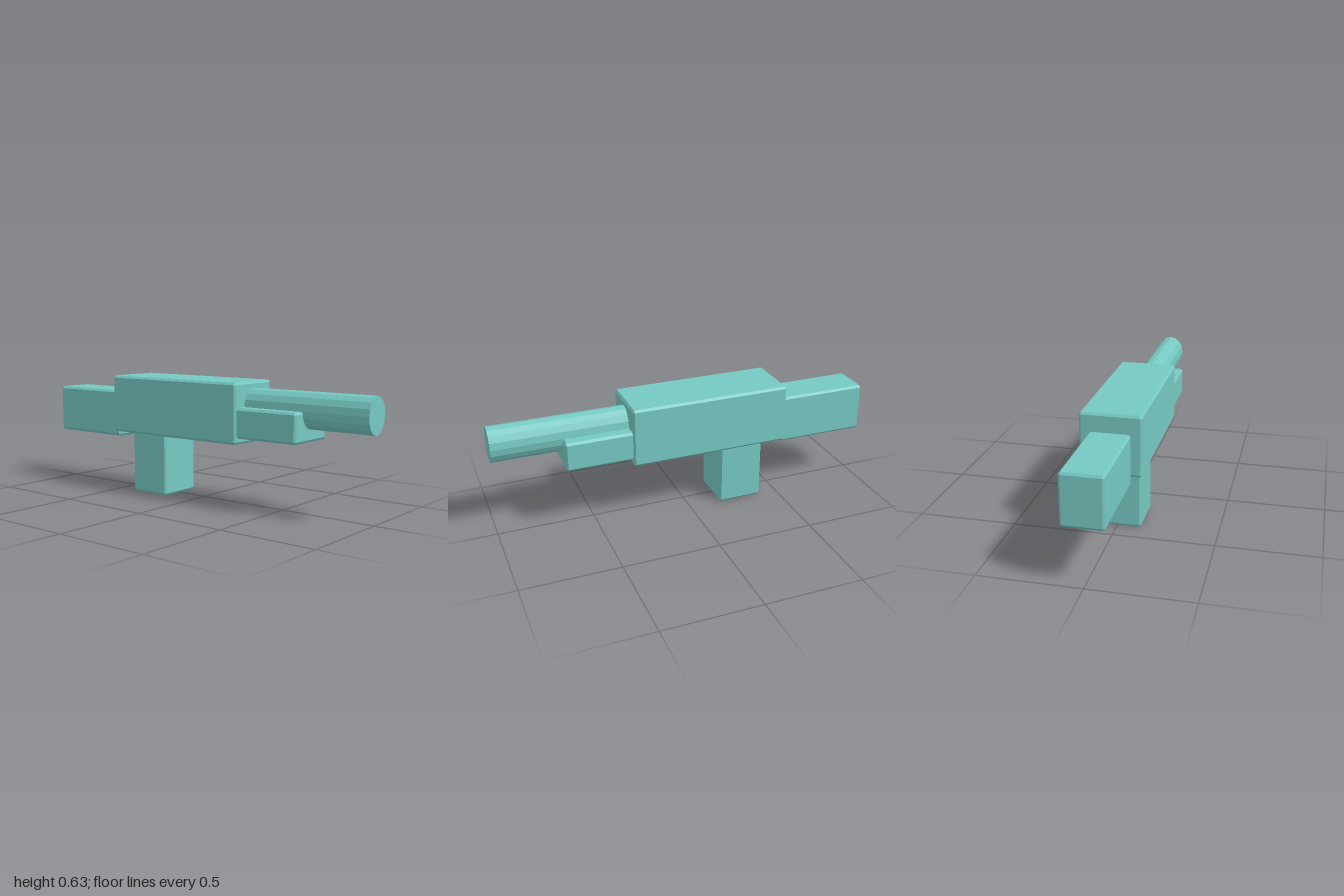
import * as THREE from 'three';
import { ConvexGeometry } from 'three/addons/geometries/ConvexGeometry.js';

const teal = new THREE.MeshStandardMaterial({ color: 0x76c8c2, flatShading: true });
teal.name = 'teal';

// Box with chamfered edges: each corner becomes three points, one per face
function chamferBox(name, [x0, x1], [y0, y1], halfZ, cut = [0.008, 0.0115, 0.01]) {
  const half = [(x1 - x0) / 2, (y1 - y0) / 2, halfZ];
  const points = [];
  for (const sx of [-1, 1]) for (const sy of [-1, 1]) for (const sz of [-1, 1]) {
    const sign = [sx, sy, sz];
    for (let face = 0; face < 3; face++) {
      points.push(new THREE.Vector3(
        ...half.map((h, axis) => sign[axis] * (axis === face ? h : h - cut[axis]))));
    }
  }
  const mesh = new THREE.Mesh(new ConvexGeometry(points), teal);
  mesh.name = name;
  mesh.position.set((x0 + x1) / 2, (y0 + y1) / 2, 0);
  return mesh;
}

export function createModel() {
  const model = new THREE.Group();
  model.name = 'blaster';

  model.add(
    chamferBox('body', [-0.518, 0.315], [0.322, 0.627], 0.15),
    chamferBox('stock', [-1, -0.525], [0.287, 0.54], 0.1),
    chamferBox('grip', [-0.4, -0.167], [0, 0.335], 0.12),
    chamferBox('foreGrip', [0.305, 0.654], [0.353, 0.504], 0.135)
  );

  // Sixteen-sided barrel, slightly taller than wide
  const barrelGeometry = new THREE.CylinderGeometry(1, 1, 0.7, 16);
  barrelGeometry.rotateZ(-Math.PI / 2);
  barrelGeometry.scale(1, 0.091, 0.074);
  const barrel = new THREE.Mesh(barrelGeometry, teal);
  barrel.name = 'barrel';
  barrel.position.set(0.65, 0.505, 0);
  model.add(barrel);

  return model;
}
